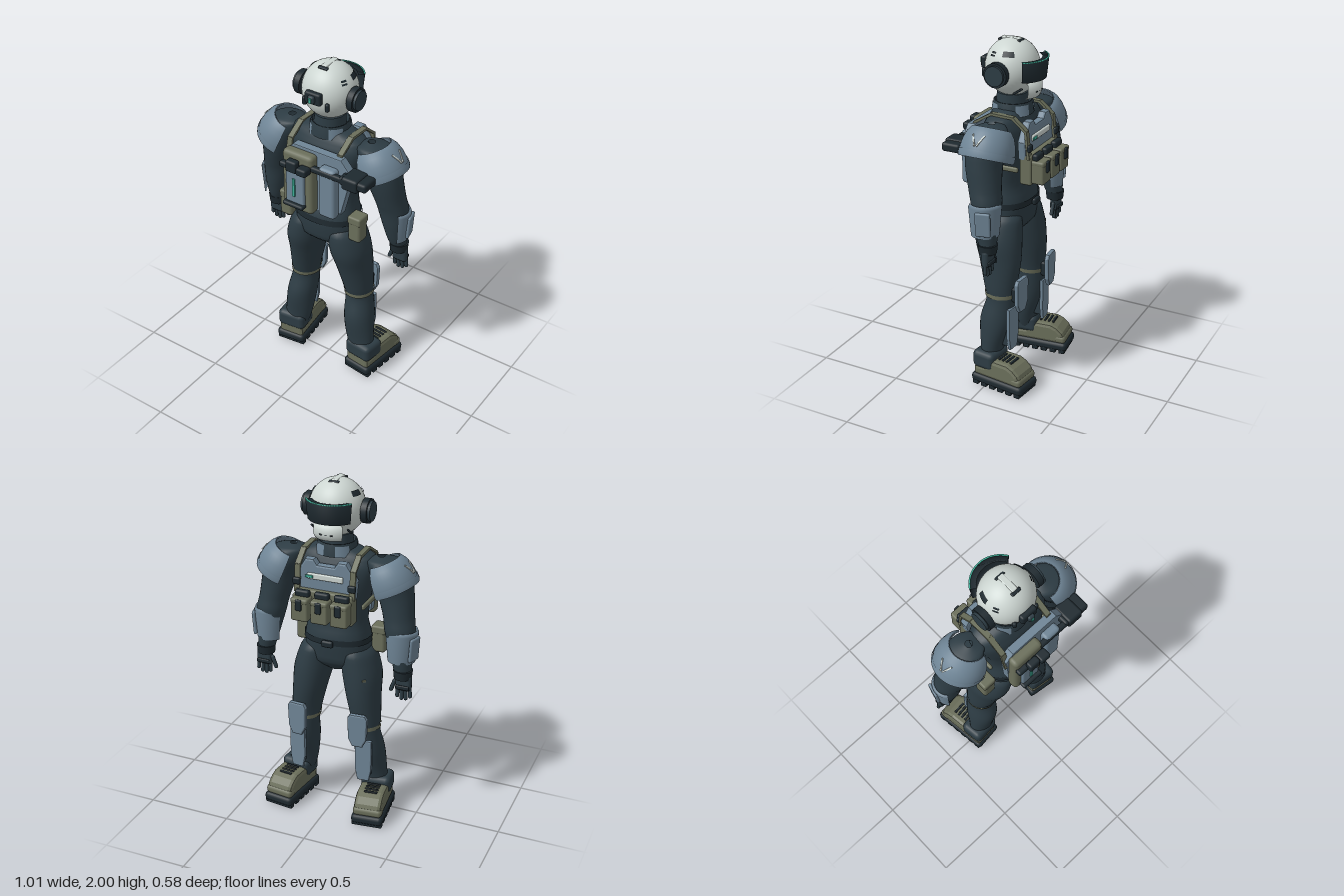
import * as THREE from 'three';
import { RoundedBoxGeometry } from 'three/addons/geometries/RoundedBoxGeometry.js';

const paint = (name, color) => {
  const m = new THREE.MeshStandardMaterial({ color, side: THREE.DoubleSide });
  m.name = name;
  return m;
};

export function createModel() {
  const suit = paint('darkSuit', 0x2d3c44), gear = paint('blackGear', 0x1e292f), armour = paint('blueArmour', 0x6f8596);
  const khaki = paint('khakiCloth', 0x6b6f5b), shell = paint('whiteShell', 0xccd5d1), glow = paint('tealLight', 0x3fae98);
  const V2 = (p) => new THREE.Vector2(p[0], p[1]);
  const root = new THREE.Group();
  root.name = 'armouredTrooper';

  const add = (parent, name, geo, mat, pos = [0, 0, 0], rot = [0, 0, 0]) => {
    const m = new THREE.Mesh(geo, mat);
    m.name = name;
    m.position.set(...pos);
    m.rotation.set(...rot);
    parent.add(m);
    return m;
  };
  const group = (name) => {
    const g = new THREE.Group();
    g.name = name;
    root.add(g);
    return g;
  };
  const box = (w, h, d, r = 0.012) => new RoundedBoxGeometry(w, h, d, 2, Math.min(r, w / 2.1, h / 2.1, d / 2.1));
  // Curved shell centred on a compass angle (0 = +z, PI/2 = +x)
  const arc = (pts, mid, span, n = 24) => new THREE.LatheGeometry(pts.map(V2), n, mid - span / 2, span);
  // Flat plate with bevelled rim, centred on its depth
  const plate = (pts, depth, bevel = 0.006) => {
    const g = new THREE.ExtrudeGeometry(new THREE.Shape(pts.map(V2)), { depth: depth - 2 * bevel, bevelThickness: bevel, bevelSize: bevel, bevelOffset: -bevel, bevelSegments: 2 });
    return g.translate(0, 0, bevel - depth / 2);
  };
  // Smooth body through sections [x, y, z, rx, rz], listed from bottom to top
  const loft = (sections, e = 2, rows = 36, n = 28) => {
    const centre = new THREE.CatmullRomCurve3(sections.map((s) => new THREE.Vector3(s[0], s[1], s[2])));
    const radii = new THREE.CatmullRomCurve3(sections.map((s) => new THREE.Vector3(s[3], 0, s[4])));
    const pos = [], idx = [];
    const bend = (v) => Math.sign(v) * Math.abs(v) ** (2 / e);
    for (let j = 0; j <= rows; j++) {
      const c = centre.getPoint(j / rows), r = radii.getPoint(j / rows);
      for (let i = 0; i < n; i++) {
        const a = (i / n) * Math.PI * 2;
        pos.push(c.x + r.x * bend(Math.cos(a)), c.y, c.z + r.z * bend(Math.sin(a)));
        if (j < rows) {
          const p = j * n + i, q = j * n + ((i + 1) % n);
          idx.push(p, p + n, q, q, p + n, q + n);
        }
      }
    }
    const g = new THREE.BufferGeometry();
    g.setAttribute('position', new THREE.Float32BufferAttribute(pos, 3));
    g.setIndex(idx);
    g.computeVertexNormals();
    return g;
  };

  // Torso, belt, neck and collar
  const body = group('body');
  add(body, 'torso', loft([[0, 0.88, 0, 0.05, 0.06], [0, 0.95, 0.005, 0.19, 0.13], [0, 1.08, 0.005, 0.19, 0.145], [0, 1.2, -0.005, 0.175, 0.115],
    [0, 1.3, -0.01, 0.185, 0.12], [0, 1.42, -0.01, 0.215, 0.135], [0, 1.52, -0.01, 0.24, 0.125], [0, 1.58, -0.01, 0.22, 0.1], [0, 1.62, -0.01, 0.12, 0.08], [0, 1.64, -0.01, 0.05, 0.05]], 2.3), suit);
  add(body, 'belt', loft([[0, 1.065, 0.005, 0.197, 0.15], [0, 1.1, 0.003, 0.195, 0.147]], 2.3, 2), gear);
  add(body, 'buckle', box(0.07, 0.04, 0.025), gear, [0, 1.08, -0.16]);
  add(body, 'neck', new THREE.CylinderGeometry(0.085, 0.09, 0.12, 24), suit, [0, 1.64, -0.01]);
  const ring = [[0.115, 0], [0.108, 0.07], [0.098, 0.07], [0.098, 0]];
  add(body, 'collar', arc(ring, 0, Math.PI * 2, 28), suit, [0, 1.585, -0.015]);
  for (const a of [-2.5, -0.85, 0.85, 2.5])
    add(body, 'collarPanel', arc([[0.12, 0], [0.112, 0.06]], a, 0.7, 8), armour, [0, 1.585, -0.015]);

  // Helmet with visor, ear cups and fittings
  const head = group('head'), hc = [0, 1.84, -0.012];
  add(head, 'helmet', new THREE.SphereGeometry(1, 40, 28), shell, hc).scale.set(0.155, 0.159, 0.15);
  const patch = (name, mat, phi, dPhi, theta, dTheta) =>
    add(head, name, new THREE.SphereGeometry(1, 8, 4, phi - dPhi / 2, dPhi, theta - dTheta / 2, dTheta), mat, hc).scale.set(0.16, 0.164, 0.155);
  add(head, 'visor', arc([[0.12, 0], [0.145, 0], [0.157, 0.11], [0.12, 0.11]], Math.PI, 2.05), gear, [0, 1.79, -0.055]);
  add(head, 'visorRim', arc([[0.157, 0], [0.159, 0.006], [0.15, 0.006]], Math.PI, 2.05), glow, [0, 1.9, -0.055]);
  add(head, 'chinGuard', arc([[0.08, -0.01], [0.12, 0], [0.132, 0.03], [0.13, 0.08], [0.09, 0.085]], Math.PI, 1.4, 12), shell, [0, 1.69, -0.045]);
  for (const x of [-0.03, 0, 0.03]) add(head, 'vent', box(0.018, 0.008, 0.008), gear, [x, 1.725, -0.173]);
  for (const s of [-1, 1]) {
    const cup = (r, w, x, mat) => add(head, 'earCup', new THREE.CylinderGeometry(r, r, w, 28), mat, [s * x, 1.83, 0], [0, 0, Math.PI / 2]);
    cup(0.068, 0.035, 0.168, gear);
    cup(0.055, 0.03, 0.185, suit);
    const base = s > 0 ? Math.PI : 0;
    patch('sidePad', gear, base + s * 0.3, 0.5, 0.94, 0.2);
    patch('rearPad', gear, base - s * 0.42, 0.25, 0.94, 0.07);
    patch('rearPad', gear, base - s * 0.42, 0.25, 1.05, 0.06);
    add(head, 'jawBar', box(0.012, 0.012, 0.07), gear, [s * 0.105, 1.735, -0.095], [0.6, 0, 0]);
    add(head, 'rearClip', box(0.024, 0.05, 0.03), gear, [s * 0.072, 1.805, 0.122], [0, s * 0.5, 0]);
    add(head, 'crestEnd', box(0.06, 0.012, 0.02), gear, [0, 1.986, s * 0.057 - 0.003], [s * 0.35, 0, 0]);
  }
  add(head, 'crest', box(0.036, 0.014, 0.11), shell, [0, 1.993, -0.005]);
  add(head, 'rearUnit', box(0.1, 0.07, 0.035), gear, [0, 1.85, 0.142]);
  add(head, 'rearKnob', box(0.04, 0.045, 0.03), suit, [0, 1.85, 0.163]);
  add(head, 'rearLight', box(0.018, 0.03, 0.006), glow, [0, 1.85, 0.18]);

  // Chest plate, pouches and harness
  const chest = group('chest');
  add(chest, 'chestPlate', plate([[-0.17, 1.38], [0.17, 1.38], [0.18, 1.48], [0.12, 1.58], [0.07, 1.58], [0.05, 1.55], [-0.05, 1.55], [-0.07, 1.58], [-0.12, 1.58], [-0.18, 1.48]], 0.05, 0.012), armour, [0, 0, -0.155]);
  add(chest, 'chestStrip', box(0.21, 0.035, 0.016), shell, [0, 1.485, -0.184]);
  add(chest, 'chestLight', box(0.045, 0.016, 0.008), glow, [0.09, 1.485, -0.195]);
  add(chest, 'pouchPanel', box(0.34, 0.175, 0.07), khaki, [0, 1.322, -0.175]);
  for (const x of [-0.115, 0, 0.115]) {
    add(chest, 'pouch', box(0.1, 0.125, 0.075), khaki, [x, 1.31, -0.243]);
    add(chest, 'pouchLid', box(0.102, 0.03, 0.08), khaki, [x, 1.365, -0.243]);
    add(chest, 'pouchTab', box(0.035, 0.065, 0.015), gear, [x, 1.345, -0.284]);
    add(chest, 'magazine', box(0.085, 0.04, 0.035), gear, [x, 1.395, -0.225]);
  }
  const path = [[1.39, -0.195], [1.54, -0.178], [1.605, -0.1], [1.61, 0.03], [1.55, 0.13], [1.42, 0.16]];
  for (const s of [-1, 1]) {
    path.slice(1).forEach(([y, z], i) => {
      const [y0, z0] = path[i];
      add(chest, 'shoulderStrap', new THREE.BoxGeometry(0.032, 0.014, Math.hypot(y - y0, z - z0) + 0.008), khaki,
        [s * 0.162, (y + y0) / 2, (z + z0) / 2], [-Math.atan2(y - y0, z - z0), 0, 0]);
    });
    add(chest, 'strapBuckle', box(0.046, 0.04, 0.02), gear, [s * 0.162, 1.45, -0.2]);
    add(chest, 'sideStrap', box(0.02, 0.03, 0.24), khaki, [s * 0.205, 1.33, -0.03]);
  }

  // Backpack
  const pack = group('backpack');
  add(pack, 'packFrame', plate([[-0.15, 1.2], [-0.1, 1.16], [0.04, 1.16], [0.08, 1.2], [0.19, 1.2], [0.245, 1.42], [0.245, 1.48], [0.19, 1.545], [-0.12, 1.545], [-0.17, 1.49]], 0.05), armour, [0, 0, 0.142]);
  add(pack, 'packBody', box(0.198, 0.37, 0.07, 0.025), khaki, [-0.058, 1.345, 0.19]);
  add(pack, 'packPanel', box(0.12, 0.25, 0.025), armour, [-0.06, 1.325, 0.232]);
  add(pack, 'packLight', box(0.018, 0.115, 0.01, 0.003), glow, [-0.062, 1.325, 0.248]);
  add(pack, 'bottomHandle', box(0.135, 0.025, 0.045), gear, [-0.062, 1.215, 0.245]);
  add(pack, 'topHandle', box(0.19, 0.035, 0.04), gear, [-0.06, 1.45, 0.235]);
  add(pack, 'topLatch', box(0.07, 0.07, 0.045), gear, [-0.062, 1.47, 0.255]);
  add(pack, 'sideLatch', box(0.065, 0.045, 0.06), gear, [0.008, 1.46, 0.255]);
  add(pack, 'sideCanister', box(0.105, 0.31, 0.06, 0.02), armour, [0.127, 1.335, 0.188]);
  add(pack, 'toolBar', box(0.28, 0.035, 0.035), gear, [0.16, 1.46, 0.205]);
  add(pack, 'toolBox', box(0.1, 0.075, 0.125, 0.015), gear, [0.28, 1.455, 0.168]);
  add(pack, 'toolEnd', box(0.17, 0.05, 0.11, 0.015), gear, [0.295, 1.46, 0.168]);

  for (const s of [-1, 1]) {
    const name = s > 0 ? 'left' : 'right';
    const mirrored = (list) => list.map(([x, ...rest]) => [s * x, ...rest]);

    // Arm, shoulder guard and forearm guard
    const arm = group(name + 'Arm');
    add(arm, 'sleeve', loft(mirrored([[0.42, 0.94, -0.08, 0.045, 0.04], [0.412, 1, -0.07, 0.055, 0.058], [0.402, 1.1, -0.06, 0.073, 0.073], [0.388, 1.2, -0.055, 0.087, 0.085],
      [0.375, 1.27, -0.04, 0.087, 0.09], [0.345, 1.4, -0.02, 0.103, 0.102], [0.315, 1.5, -0.02, 0.115, 0.11], [0.28, 1.57, -0.02, 0.1, 0.09], [0.26, 1.595, -0.02, 0.02, 0.02]])), suit);
    const guard = new THREE.Group();
    guard.name = 'shoulderGuard';
    guard.position.set(s * 0.328, 1.43, -0.025);
    guard.rotation.z = s * 0.42;
    arm.add(guard);
    add(guard, 'guardShell', arc([[0.136, -0.015], [0.147, -0.015], [0.15, 0.03], [0.143, 0.075], [0.128, 0.118], [0.105, 0.15], [0.094, 0.146], [0.115, 0.11], [0.136, 0.03]], s * Math.PI / 2, 3.8, 28), armour);
    add(guard, 'guardRim', arc([[0.15, -0.018], [0.154, 0], [0.153, 0.022]], s * Math.PI / 2, 3.8, 28), armour);
    for (const t of [-1, 1])
      add(guard, 'guardMark', new THREE.BoxGeometry(0.008, 0.07, 0.008), shell, [s * 0.142, 0.072, t * 0.02], [t * 0.45, 0, s * 0.32]);
    const out = Math.PI - s * 0.65;
    add(arm, 'forearmGuard', arc([[0.07, -0.09], [0.078, -0.09], [0.092, 0.08], [0.084, 0.1], [0.076, 0.09]], out, 3.5, 18), armour, [s * 0.4, 1.105, -0.052]);
    add(arm, 'forearmPlate', box(0.02, 0.14, 0.085), armour, [s * 0.482, 1.105, -0.082], [0, s * 0.25, -s * 0.07]);

    // Gloved hand
    add(arm, 'cuff', new THREE.CylinderGeometry(0.055, 0.05, 0.05, 20), gear, [s * 0.42, 0.945, -0.078]);
    add(arm, 'palm', box(0.09, 0.1, 0.045, 0.018), suit, [s * 0.428, 0.895, -0.082]);
    [0.812, 0.8, 0.803, 0.82].forEach((y, i) =>
      add(arm, 'finger', new THREE.CapsuleGeometry(0.0115, 0.09, 4, 8), suit, [s * (0.394 + i * 0.0235), y + 0.04, -0.084], [0.06, 0, s * (i - 1) * 0.04]));
    add(arm, 'thumb', new THREE.CapsuleGeometry(0.012, 0.06, 4, 8), suit, [s * 0.366, 0.868, -0.088], [0, 0, -s * 0.35]);
    add(arm, 'knuckles', box(0.08, 0.025, 0.012), gear, [s * 0.428, 0.87, -0.108]);

    // Leg with strap, knee pad and shin plate
    const leg = group(name + 'Leg');
    add(leg, 'trouser', loft(mirrored([[0.25, 0.1, 0, 0.07, 0.06], [0.225, 0.22, 0, 0.085, 0.065], [0.205, 0.4, -0.018, 0.088, 0.098], [0.19, 0.53, -0.038, 0.08, 0.085],
      [0.185, 0.6, -0.032, 0.086, 0.095], [0.165, 0.75, -0.02, 0.1, 0.122], [0.147, 0.88, 0, 0.112, 0.138], [0.12, 1, 0.005, 0.1, 0.13], [0.1, 1.06, 0, 0.05, 0.07]])), suit);
    add(leg, 'kneeStrap', loft([[s * 0.189, 0.548, -0.036, 0.086, 0.092], [s * 0.187, 0.572, -0.036, 0.088, 0.094]], 2, 2), khaki);
    add(leg, 'kneePad', plate([[-0.03, 0.47], [0.03, 0.47], [0.055, 0.52], [0.06, 0.65], [0.045, 0.675], [-0.045, 0.675], [-0.06, 0.65], [-0.055, 0.52]], 0.03, 0.01), armour, [s * 0.187, 0, -0.163], [0, -s * 0.08, 0]);
    add(leg, 'kneeMount', box(0.07, 0.09, 0.04), gear, [s * 0.187, 0.57, -0.135]);
    add(leg, 'shinPlate', plate([[-0.035, 0.225], [0.035, 0.225], [0.05, 0.3], [0.05, 0.49], [-0.05, 0.49], [-0.05, 0.3]], 0.024, 0.008), armour, [s * 0.207, 0, -0.118], [0, -s * 0.08, 0]);
    add(leg, 'shinMount', box(0.06, 0.18, 0.06), suit, [s * 0.21, 0.33, -0.085]);

    // Hip pouch
    add(leg, 'hipPouch', box(0.08, 0.155, 0.085, 0.018), khaki, [s * 0.232, 1.07, 0.06]);
    add(leg, 'hipPouchLid', box(0.085, 0.05, 0.09, 0.012), khaki, [s * 0.232, 1.13, 0.06]);

    // Boot turned slightly outward
    const boot = new THREE.Group();
    boot.name = name + 'Boot';
    boot.position.set(s * 0.252, 0, 0);
    boot.rotation.y = -s * 0.12;
    root.add(boot);
    add(boot, 'sole', box(0.186, 0.055, 0.345, 0.022), gear, [0, 0.043, -0.093]);
    for (let i = 0; i < 6; i++) add(boot, 'tread', box(0.18, 0.03, 0.038, 0.006), gear, [0, 0.015, 0.05 - i * 0.057]);
    const upper = plate([[-0.065, 0.06], [0.245, 0.06], [0.25, 0.1], [0.235, 0.135], [0.2, 0.165], [0.16, 0.182], [0.05, 0.182], [0, 0.13], [-0.065, 0.12]], 0.165, 0.022).rotateY(Math.PI / 2);
    add(boot, 'upper', upper, khaki);
    add(boot, 'toeCap', box(0.172, 0.05, 0.07, 0.02), khaki, [0, 0.09, -0.22]);
    add(boot, 'ankleCuff', box(0.178, 0.11, 0.145, 0.03), suit, [0, 0.165, 0.002]);
    for (let i = 0; i < 4; i++) add(boot, 'lace', box(0.08, 0.014, 0.014, 0.004), gear, [0, 0.183 - i * 0.001, -0.085 - i * 0.026]);
  }

  // Small cloth tabs on one thigh
  for (let i = 0; i < 4; i++) add(root, 'thighTab', box(0.022, 0.014, 0.012, 0.003), khaki, [-0.205 + (i % 2) * 0.018, 0.87 - i * 0.024, -0.117], [0, 0.5, 0]);
  return root;
}
